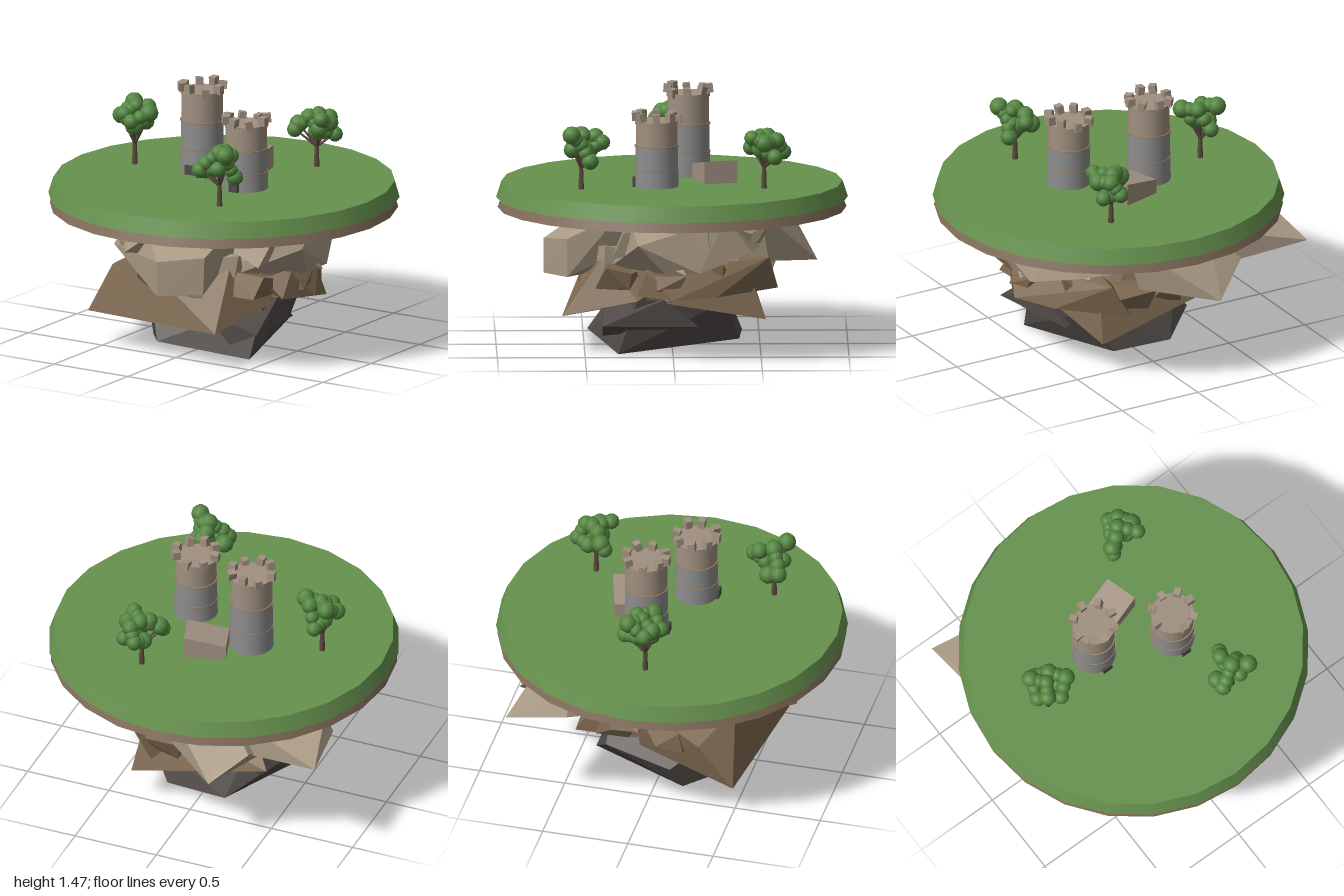
import * as THREE from 'three';
import { ConvexGeometry } from 'three/addons/geometries/ConvexGeometry.js';

const paint = (name, color, extra = {}) => {
  const m = new THREE.MeshStandardMaterial({ color, ...extra });
  m.name = name;
  return m;
};

export function createModel() {
  const grass = paint('grass', 0x67924e);
  const soil = paint('soil', 0x806b58);
  const paleRock = paint('pale rock', 0xa89983, { flatShading: true });
  const brownRock = paint('brown rock', 0x7d6850, { flatShading: true });
  const darkRock = paint('dark rock', 0x4f4a47, { flatShading: true });
  const greyStone = paint('grey stone', 0x8d8d8d);
  const tanStone = paint('tan stone', 0xa09080);
  const trim = paint('trim', 0x98826c);
  const bark = paint('bark', 0x5e4a3c);
  const leaf = paint('leaf', 0x53853f);

  const root = new THREE.Group();
  root.name = 'floatingIsland';
  const add = (parent, name, geometry, material, x = 0, y = 0, z = 0) => {
    const mesh = new THREE.Mesh(geometry, material);
    mesh.name = name;
    mesh.position.set(x, y, z);
    parent.add(mesh);
    return mesh;
  };
  const group = (name, x = 0, y = 0, z = 0) => {
    const g = new THREE.Group();
    g.name = name;
    g.position.set(x, y, z);
    root.add(g);
    return g;
  };
  let seed = 11;
  const rand = () => (seed = (seed * 16807) % 2147483647) / 2147483647;
  const jitter = (a) => (rand() * 2 - 1) * a;

  // Island disc
  add(root, 'grassTop', new THREE.CylinderGeometry(0.97, 1, 0.092, 24), grass, 0, 0.9, 0);
  add(root, 'soilLayer', new THREE.CylinderGeometry(0.97, 0.992, 0.058, 24), soil, 0, 0.825, 0);

  // Large rocks, each the hull of its corners
  const rocks = group('rocks');
  const hull = (name, material, corners) =>
    add(rocks, name, new ConvexGeometry(corners.map((c) => new THREE.Vector3(...c))), material);
  hull('frontRock', paleRock, [
    [0.02, 0.42, 0.73], [0.25, 0.43, 0.6], [0.02, 0.62, 0.73], [0.26, 0.65, 0.6], [-0.55, 0.55, 0.3],
    [-0.6, 0.62, 0.1], [-0.3, 0.8, 0.4], [0.3, 0.8, 0.3], [0.2, 0.8, -0.2], [-0.3, 0.5, -0.2]]);
  hull('spikeRock', paleRock, [
    [-0.87, 0.66, -0.75], [-0.79, 0.8, -0.4], [-0.84, 0.7, -0.4], [-0.3, 0.8, -0.62], [-0.35, 0.58, -0.64],
    [0, 0.8, -0.2], [-0.2, 0.5, 0], [-0.55, 0.62, -0.05]]);
  hull('backRock', paleRock, [
    [-0.25, 0.45, -0.83], [-0.45, 0.63, -0.72], [-0.3, 0.8, -0.62], [0.2, 0.8, -0.5], [0.12, 0.5, -0.55],
    [-0.5, 0.52, -0.4], [0, 0.5, -0.3]]);
  hull('sideRock', paleRock, [
    [0.66, 0.67, 0.2], [0.47, 0.8, 0.25], [0.48, 0.8, -0.3], [0.6, 0.5, -0.15], [0.6, 0.5, 0.05],
    [0.3, 0.5, 0.35], [0.2, 0.6, -0.5], [0.45, 0.6, -0.45], [0, 0.8, 0], [0, 0.5, 0]]);
  hull('middleFrontRock', brownRock, [
    [-0.59, 0.2, 0.51], [0.35, 0.22, 0.63], [0.45, 0.32, 0.2], [-0.35, 0.24, -0.1], [-0.56, 0.43, 0.3],
    [-0.3, 0.55, 0.45], [0.3, 0.55, 0.4], [0.2, 0.55, -0.2], [-0.4, 0.55, -0.1]]);
  hull('middleBackRock', brownRock, [
    [0.35, 0.2, -0.53], [0.4, 0.3, 0.05], [-0.45, 0.35, -0.45], [-0.3, 0.25, -0.1], [0.3, 0.55, -0.4],
    [-0.3, 0.55, -0.3], [0, 0.5, 0.1]]);
  hull('middleSideRock', brownRock, [
    [0.62, 0.35, 0], [0.55, 0.5, 0.15], [0.3, 0.55, -0.55], [0.2, 0.36, -0.6], [0.5, 0.35, -0.25],
    [0, 0.4, 0], [0.2, 0.6, 0.2], [0.53, 0.36, 0.2]]);
  hull('bottomRock', darkRock, [
    [0.375, 0.005, 0.31], [-0.375, 0.015, 0.16], [-0.14, 0.075, 0.48], [0.19, 0.065, -0.38],
    [-0.17, 0.065, -0.4], [-0.44, 0.16, 0.1], [-0.34, 0.2, -0.3], [0.4, 0.32, 0.2], [0.33, 0.3, -0.3],
    [-0.3, 0.3, 0.3], [-0.25, 0.3, -0.3]]);
  hull('bottomSideRock', darkRock, [
    [0.48, 0.18, 0.4], [0.3, 0.1, 0.4], [0.37, 0.16, -0.15], [0.4, 0.32, 0.05], [0.1, 0.3, 0.4],
    [0.1, 0.15, 0]]);

  // Broken chips around the tiers
  const chips = (count, material, radius, y, size) => {
    for (let i = 0; i < count; i++) {
      const a = (i / count) * Math.PI * 2 + jitter(0.2);
      const r = radius + jitter(0.05);
      const corners = [];
      for (const sx of [-1, 1]) for (const sy of [-1, 1]) for (const sz of [-1, 1]) {
        corners.push([
          Math.cos(a) * r + size * (sx + jitter(0.6)),
          y + size * 0.7 * (sy + jitter(0.6)),
          Math.sin(a) * r + size * (sz + jitter(0.6))]);
      }
      hull('rockChip', material, corners);
    }
  };
  chips(9, paleRock, 0.47, 0.66, 0.1);
  chips(7, paleRock, 0.44, 0.54, 0.1);
  chips(9, brownRock, 0.45, 0.43, 0.09);

  // Towers with trim rings, battlements and a door
  const tower = (name, x, z, greyTop, top, ringY) => {
    const g = group(name, x, 0, z);
    const drum = (part, r0, r1, y0, y1, material) =>
      add(g, part, new THREE.CylinderGeometry(r1, r0, y1 - y0, 24), material, 0, (y0 + y1) / 2, 0);
    drum('lowerWall', 0.125, 0.123, 0.94, ringY, greyStone);
    drum('middleWall', 0.122, 0.12, ringY, greyTop, greyStone);
    drum('upperWall', 0.119, 0.118, greyTop, top - 0.02, tanStone);
    drum('parapet', 0.123, 0.123, top - 0.02, top, tanStone);
    for (const y of [ringY, greyTop]) drum('trimRing', 0.126, 0.126, y - 0.004, y + 0.004, trim);
    for (let i = 0; i < 8; i++) {
      const a = (i / 8) * Math.PI * 2 + jitter(0.1);
      const m = add(g, 'battlement', new THREE.BoxGeometry(0.04, 0.05, 0.045), tanStone,
        Math.sin(a) * 0.118, top + 0.018 + jitter(0.014), Math.cos(a) * 0.118);
      m.rotation.set(jitter(0.22), a, jitter(0.22));
    }
    add(g, 'door', new THREE.BoxGeometry(0.058, 0.055, 0.03), darkRock, 0, 0.973, 0.123);
  };
  tower('tallTower', -0.21, -0.095, 1.245, 1.42, 1.085);
  tower('shortTower', 0.21, 0.09, 1.18, 1.325, 1.045);

  // Small hut with a sloping roof
  const hutShape = new THREE.BoxGeometry(0.24, 0.12, 0.195);
  const p = hutShape.attributes.position;
  for (let i = 0; i < p.count; i++) if (p.getY(i) > 0) p.setY(i, p.getX(i) > 0 ? 0.075 : 0.03);
  hutShape.computeVertexNormals();
  add(root, 'hut', hutShape, tanStone, 0.005, 1, -0.243).rotation.y = 0.29;

  // Trees: trunk, branches to the leaf balls, and smaller balls filling the gaps
  const up = new THREE.Vector3(0, 1, 0);
  const limb = (g, name, from, to, r0, r1) => {
    const d = to.clone().sub(from);
    const mid = from.clone().add(to).multiplyScalar(0.5);
    const m = add(g, name, new THREE.CylinderGeometry(r1, r0, d.length(), 7), bark, mid.x, mid.y, mid.z);
    m.quaternion.setFromUnitVectors(up, d.normalize());
  };
  const tree = (name, x, z, corners) => {
    const g = group(name, x, 0.945, z);
    const fork = new THREE.Vector3(0, 0.12, 0);
    limb(g, 'trunk', new THREE.Vector3(), fork, 0.017, 0.012);
    const balls = corners.map((c) => new THREE.Vector3(...c));
    const leafBall = (c, r) => add(g, 'leafBall', new THREE.SphereGeometry(r, 12, 6), leaf, c.x, c.y, c.z);
    balls.forEach((ball, i) => {
      if (ball.y > 0.18) limb(g, 'branch', fork, ball, 0.009, 0.004);
      leafBall(ball, 0.045 + (i % 3) * 0.004);
      leafBall(ball.clone().lerp(balls[(i + 1) % balls.length], 0.5), 0.041);
    });
  };
  tree('leftTree', -0.605, 0, [
    [0, 0.22, -0.12], [0.05, 0.33, -0.06], [0.11, 0.32, 0.02], [0.03, 0.27, 0.085], [-0.085, 0.28, 0.015],
    [-0.06, 0.34, -0.085], [0, 0.34, -0.015], [-0.04, 0.3, 0.05], [0.015, 0.23, 0.03], [0.06, 0.26, 0],
    [-0.03, 0.24, -0.04]]);
  tree('frontTree', 0.31, 0.52, [
    [0, 0.27, -0.12], [-0.02, 0.3, -0.08], [0.075, 0.32, 0.055], [0.05, 0.26, 0], [0.07, 0.17, -0.05],
    [0, 0.31, 0], [-0.07, 0.25, 0.04], [-0.1, 0.21, 0.05], [-0.1, 0.2, -0.01], [0.02, 0.23, 0.05],
    [-0.01, 0.23, -0.05]]);
  tree('backTree', 0.29, -0.52, [
    [0, 0.21, -0.11], [0.04, 0.28, -0.07], [0.085, 0.27, 0], [0.075, 0.3, 0.07], [0, 0.3, -0.02],
    [-0.09, 0.25, 0.05], [-0.1, 0.22, 0.075], [-0.04, 0.29, 0.02], [0.03, 0.23, 0.02], [0.085, 0.19, -0.06],
    [-0.03, 0.19, -0.04]]);

  return root;
}
